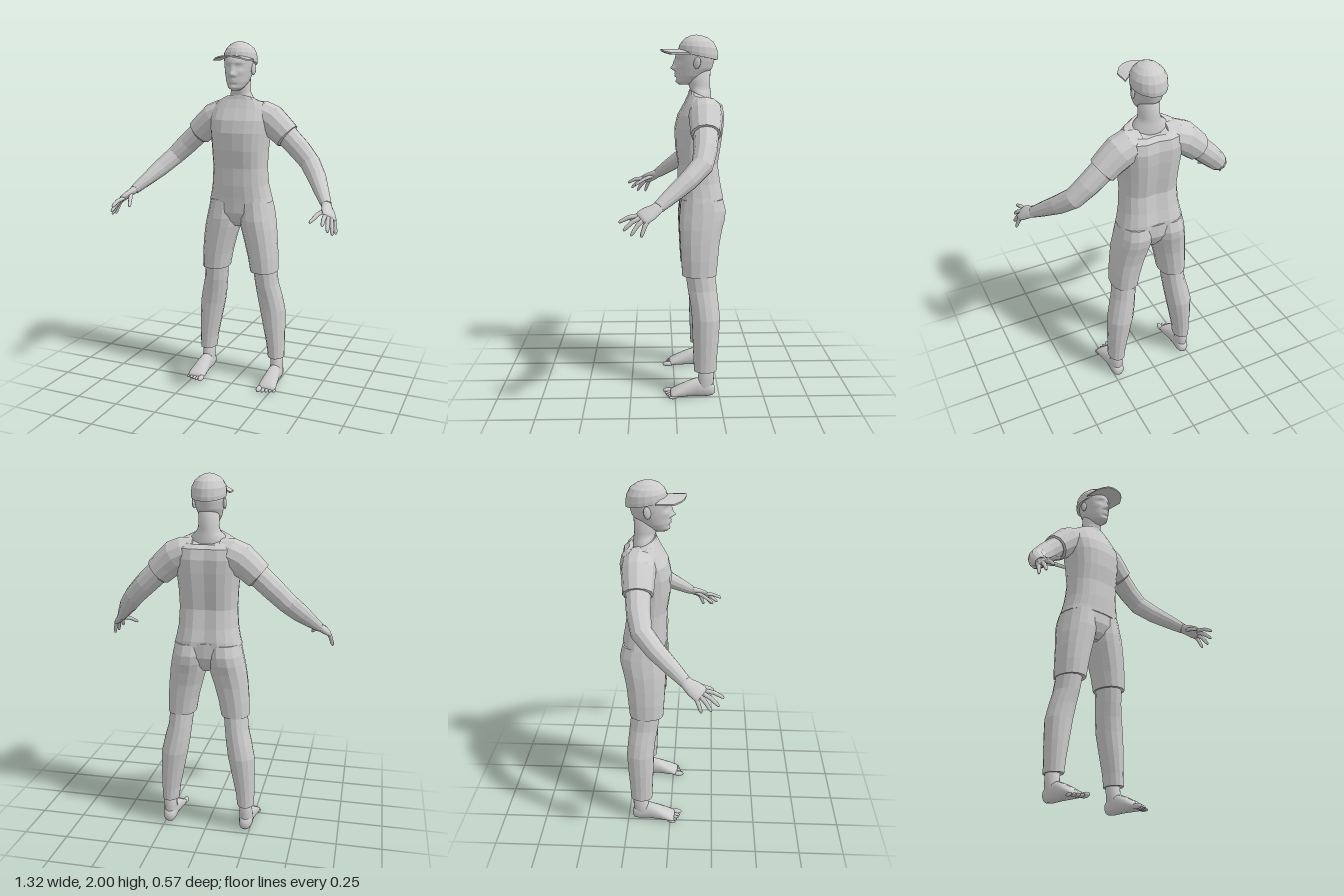
import * as THREE from 'three';

const cloth = new THREE.MeshStandardMaterial({ color: 0xcccccc });
cloth.name = 'light grey';
const V = (x, y, z) => new THREE.Vector3(x, y, z);
const UP = V(0, 1, 0), FRONT = V(0, 0, 1);

// Skin a row of rings [x, y, z, radiusA, radiusB, tilt]; radiusB lies along ref.
function loft(rings, { sides = 16, ref = FRONT, axis = null, power = 1, flat = true, steps = 1, rule = null } = {}) {
  const rows = [];
  rings.forEach((r, i) => {
    const next = rings[i + 1];
    for (let k = 0; k < (next ? steps : 1); k++) {
      rows.push([0, 1, 2, 3, 4, 5].map((n) => {
        const a = r[n] || 0;
        return next ? a + (((next[n] || 0) - a) * k) / steps : a;
      }));
    }
  });
  const centre = rows.map((r) => V(r[0], r[1], r[2]));
  const pos = [], index = [], last = rows.length - 1;
  rows.forEach((r, i) => {
    const t = axis || centre[Math.min(i + 1, last)].clone().sub(centre[Math.max(i - 1, 0)]).normalize();
    const v = ref.clone().addScaledVector(t, -ref.dot(t)).normalize();
    const u = v.clone().cross(t);
    for (let j = 0; j < sides; j++) {
      const a = (j / sides) * Math.PI * 2;
      const round = (n) => Math.sign(n) * Math.abs(n) ** power;
      const p = centre[i].clone().addScaledVector(u, r[3] * round(Math.cos(a))).addScaledVector(v, r[4] * round(Math.sin(a)));
      p.y += r[5] * r[4] * Math.sin(a);
      if (rule) rule(p, Math.sin(a));
      pos.push(p.x, p.y, p.z);
      if (i < last) {
        const b = i * sides, j2 = (j + 1) % sides;
        index.push(b + j, b + j2, b + sides + j2, b + j, b + sides + j2, b + sides + j);
      }
    }
  });
  // Close both ends
  const n = pos.length / 3, top = last * sides;
  for (const c of [centre[0], centre[last]]) pos.push(c.x, c.y, c.z);
  for (let j = 0; j < sides; j++) {
    const j2 = (j + 1) % sides;
    index.push(n, j2, j, n + 1, top + j, top + j2);
  }
  let g = new THREE.BufferGeometry();
  g.setAttribute('position', new THREE.Float32BufferAttribute(pos, 3));
  g.setIndex(index);
  if (flat) g = g.toNonIndexed();
  g.computeVertexNormals();
  return g;
}

export function createModel() {
  const model = new THREE.Group();
  model.name = 'standingPerson';
  const add = (name, geometry, parent = model) => {
    const m = new THREE.Mesh(geometry, cloth);
    m.name = name;
    parent.add(m);
    return m;
  };
  // Upright form from rows of [y, centre x, centre z, half width, half depth, tilt]
  const upright = (rows, opts = {}) =>
    loft(rows.map(([y, x, z, a, b, tilt]) => [x, y, z, a, b, tilt]), { axis: UP, ...opts });

  // Shirt body, with a shallow groove down the back
  add('shirt', upright([
    [1.1, 0, -0.15, 0.187, 0.125], [1.13, 0, -0.149, 0.178, 0.125], [1.2, 0, -0.14, 0.164, 0.12],
    [1.3, 0, -0.133, 0.158, 0.112], [1.4, 0, -0.133, 0.162, 0.128], [1.5, 0, -0.138, 0.172, 0.136],
    [1.57, 0, -0.148, 0.18, 0.13], [1.63, 0, -0.16, 0.172, 0.105, 0.05], [1.665, 0, -0.158, 0.14, 0.08, 0.25],
    [1.676, 0, -0.147, 0.1, 0.064, 0.5],
  ], { sides: 20, power: 0.8, rule: (p, s) => {
    if (s < 0) p.z += 0.014 * Math.exp(-((p.x / 0.035) ** 2));
  } }));

  // Neck
  add('neck', upright([
    [1.64, 0, -0.147, 0.094, 0.06, 0.4], [1.676, 0, -0.147, 0.092, 0.059, 0.4], [1.7, 0, -0.146, 0.066, 0.058, 0.2],
    [1.73, 0, -0.138, 0.055, 0.06, 0.1], [1.82, 0, -0.13, 0.055, 0.07],
  ], { sides: 24, flat: false }));

  // Head, with the features pushed out of or into the face: [x, y, amount, width, height]
  const bumps = [
    [0, 1.823, 0.026, 0.013, 0.013], [0, 1.85, 0.014, 0.009, 0.022], [0.016, 1.817, 0.01, 0.008, 0.008],
    [0.032, 1.862, -0.011, 0.017, 0.012], [0.032, 1.861, 0.007, 0.009, 0.006], [0.03, 1.886, 0.005, 0.025, 0.008],
    [0, 1.793, 0.009, 0.02, 0.006], [0, 1.78, 0.009, 0.018, 0.006], [0, 1.766, -0.004, 0.02, 0.006],
    [0, 1.75, 0.007, 0.02, 0.012], [0.045, 1.835, 0.005, 0.015, 0.014],
  ];
  add('head', upright([
    [1.735, 0, -0.06, 0.022, 0.034], [1.75, 0, -0.068, 0.043, 0.053], [1.78, 0, -0.09, 0.06, 0.08],
    [1.82, 0, -0.108, 0.071, 0.1], [1.86, 0, -0.114, 0.078, 0.106], [1.9, 0, -0.117, 0.081, 0.107],
    [1.94, 0, -0.12, 0.07, 0.09],
  ], { sides: 56, steps: 6, flat: false, rule: (p, s) => {
    if (s < 0.15) return;
    const x = p.x, y = p.y;
    for (const [bx, by, amount, w, h] of bumps) {
      for (const m of bx ? [-1, 1] : [1]) {
        p.z += amount * Math.exp(-(((x - m * bx) / w) ** 2) - ((y - by) / h) ** 2);
      }
    }
  } }));

  // Cap crown and curved peak
  add('capCrown', upright([
    [1.886, 0, -0.132, 0.092, 0.107, 0.2], [1.905, 0, -0.132, 0.093, 0.109, 0.18], [1.935, 0, -0.131, 0.09, 0.104, 0.08],
    [1.963, 0, -0.127, 0.075, 0.088], [1.985, 0, -0.123, 0.05, 0.06], [1.996, 0, -0.121, 0.025, 0.03], [2, 0, -0.12, 0.004, 0.004],
  ], { sides: 18 }));
  let peak = new THREE.BoxGeometry(2, 0.008, 1, 8, 1, 3);
  const pp = peak.attributes.position;
  for (let i = 0; i < pp.count; i++) {
    const u = pp.getX(i), w = pp.getZ(i) + 0.5;
    const back = -0.04 - 0.04 * u * u, front = 0.075 - 0.015 * u * u - 0.045 * u ** 4;
    pp.setXYZ(i, u * 0.1, 1.921 - 0.022 * u * u + pp.getY(i), back + (front - back) * w);
  }
  peak = peak.toNonIndexed();
  peak.computeVertexNormals();
  add('capPeak', peak);

  // Hips of the shorts
  add('shortsHips', upright([
    [0.955, 0, -0.15, 0.03, 0.07], [0.99, 0, -0.148, 0.09, 0.095], [1.04, 0, -0.15, 0.17, 0.118], [1.12, 0, -0.15, 0.174, 0.119],
  ], { sides: 20, power: 0.85 }));

  for (const s of [1, -1]) {
    const side = s > 0 ? 'left' : 'right';
    const part = (name) => {
      const g = new THREE.Group();
      g.name = side + name;
      model.add(g);
      return g;
    };
    const column = (rows, opts) => upright(rows.map(([y, x, ...rest]) => [y, s * x, ...rest]), opts);
    const limb = (rows, opts) => loft(rows.map(([x, ...rest]) => [s * x, ...rest]), opts);

    // Ear
    const ear = add(side + 'Ear', new THREE.SphereGeometry(1, 12, 8));
    ear.scale.set(0.01, 0.033, 0.02);
    ear.position.set(s * 0.081, 1.85, -0.122);
    ear.rotation.set(-0.15, s * -0.3, 0);

    // Sleeve, arm and hand
    const arm = part('Arm');
    add('sleeve', limb([
      [0.06, 1.61, -0.165, 0.065, 0.07], [0.12, 1.593, -0.165, 0.085, 0.09], [0.175, 1.567, -0.165, 0.09, 0.091],
      [0.225, 1.525, -0.162, 0.083, 0.085], [0.272, 1.482, -0.16, 0.078, 0.08], [0.276, 1.479, -0.16, 0.068, 0.07],
    ], { sides: 12 }), arm);
    add('bareArm', limb([
      [0.2, 1.55, -0.16, 0.06, 0.06], [0.275, 1.48, -0.16, 0.064, 0.067], [0.35, 1.41, -0.153, 0.062, 0.062],
      [0.42, 1.34, -0.132, 0.056, 0.058], [0.48, 1.273, -0.06, 0.051, 0.051], [0.535, 1.208, 0.025, 0.038, 0.042],
      [0.578, 1.158, 0.09, 0.027, 0.032],
    ], { sides: 12 }), arm);
    const hand = new THREE.Group();
    hand.name = 'hand';
    arm.add(hand);
    add('palm', limb([
      [0.57, 1.167, 0.078, 0.024, 0.03], [0.587, 1.148, 0.105, 0.021, 0.034], [0.602, 1.132, 0.135, 0.02, 0.044],
      [0.617, 1.115, 0.165, 0.017, 0.046], [0.623, 1.108, 0.178, 0.011, 0.038],
    ], { sides: 14, ref: V(-0.35 * s, 0.2, 0.9), flat: false }), hand);
    const fingers = [
      [0.6, 1.122, 0.195, 0.612, 1.088, 0.285], [0.614, 1.114, 0.183, 0.634, 1.052, 0.262],
      [0.627, 1.108, 0.165, 0.65, 1.03, 0.225], [0.633, 1.107, 0.142, 0.657, 1.025, 0.175],
      [0.58, 1.14, 0.125, 0.53, 1.085, 0.235],
    ];
    fingers.forEach(([x0, y0, z0, x1, y1, z1], i) => {
      const rows = [[-0.15, 0.012], [0.45, 0.0115], [0.85, 0.0095], [0.97, 0.006], [1, 0.001]].map(([t, r]) =>
        [x0 + (x1 - x0) * t, y0 + (y1 - y0) * t + 0.03 * t * (1 - t), z0 + (z1 - z0) * t, r, r]);
      add(i < 4 ? 'finger' : 'thumb', limb(rows, { sides: 8, ref: UP, flat: false }), hand);
    });

    // Shorts leg and long trouser leg below it
    const leg = part('Leg');
    add('shortsLeg', column([
      [0.692, 0.152, -0.137, 0.07, 0.086], [0.69, 0.152, -0.137, 0.079, 0.097], [0.78, 0.143, -0.138, 0.086, 0.104],
      [0.87, 0.128, -0.14, 0.094, 0.111], [0.95, 0.112, -0.146, 0.101, 0.121], [1.0, 0.103, -0.152, 0.1, 0.129],
      [1.05, 0.096, -0.157, 0.097, 0.129], [1.11, 0.09, -0.152, 0.09, 0.119],
    ], { sides: 14, power: 0.9 }), leg);
    add('trouserLeg', column([
      [0.152, 0.222, -0.17, 0.04, 0.055], [0.15, 0.222, -0.17, 0.049, 0.064], [0.22, 0.218, -0.17, 0.053, 0.067],
      [0.33, 0.207, -0.172, 0.065, 0.074], [0.45, 0.193, -0.174, 0.076, 0.08], [0.53, 0.178, -0.166, 0.074, 0.08],
      [0.61, 0.163, -0.154, 0.068, 0.083], [0.72, 0.152, -0.14, 0.068, 0.084],
    ], { sides: 14 }), leg);

    // Bare foot with toes
    const foot = new THREE.Group();
    foot.name = 'foot';
    leg.add(foot);
    add('ankle', column([
      [0.03, 0.225, -0.165, 0.036, 0.055], [0.07, 0.225, -0.165, 0.039, 0.052], [0.1, 0.225, -0.175, 0.037, 0.045], [0.17, 0.223, -0.177, 0.037, 0.043],
    ], { sides: 16, flat: false }), foot);
    add('sole', limb([
      [0.225, 0.035, -0.225, 0.016, 0.02], [0.225, 0.041, -0.212, 0.032, 0.037], [0.225, 0.048, -0.18, 0.039, 0.05],
      [0.225, 0.052, -0.12, 0.039, 0.052], [0.226, 0.042, -0.07, 0.045, 0.042], [0.227, 0.029, -0.02, 0.052, 0.029],
      [0.228, 0.02, 0.012, 0.053, 0.019], [0.228, 0.017, 0.025, 0.046, 0.013],
    ], { ref: UP, axis: FRONT, power: 0.9, flat: false, rule: (p) => { p.y = Math.max(p.y, 0.002); } }), foot);
    for (let i = 0; i < 5; i++) {
      const toe = add('toe', new THREE.SphereGeometry(1, 10, 8), foot);
      const r = i ? 0.0105 - i * 0.0003 : 0.0155;
      toe.scale.set(r, r, 0.034 - i * 0.002);
      toe.position.set(s * (i ? 0.191 + i * 0.0205 : 0.188), r, 0.034 - i * 0.006);
      toe.rotation.y = s * 0.04 * i;
    }
  }
  return model;
}
